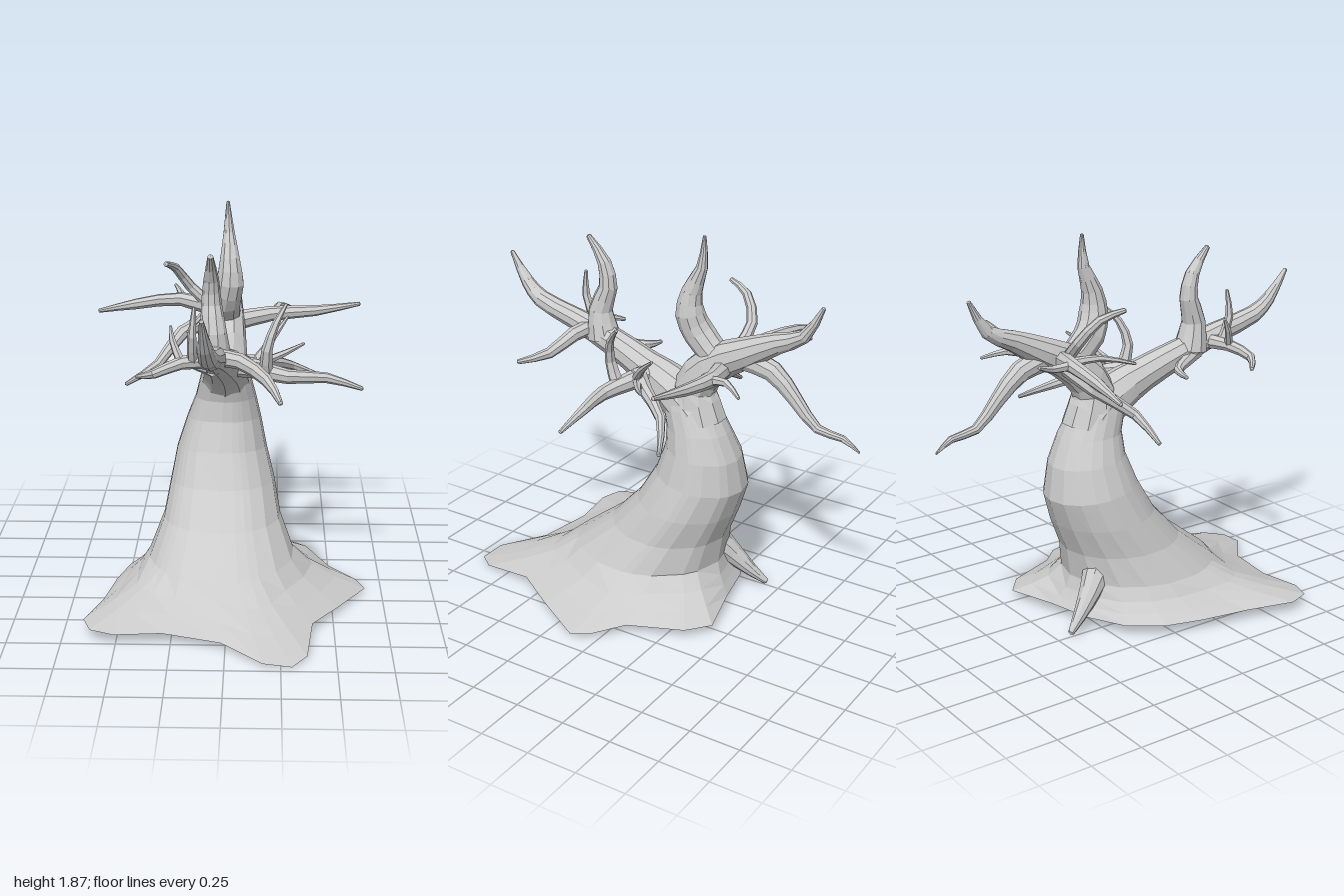
import * as THREE from 'three';

const V = (x, y, z) => new THREE.Vector3(x, y, z);
const bark = new THREE.MeshStandardMaterial({ color: 0xcccccc, flatShading: true, side: THREE.DoubleSide });

// Skin a list of equal-length point rings; optionally close the end with a tip point
function loft(name, rings, tip) {
  const n = rings[0].length, pos = rings.flat().flatMap(p => [p.x, p.y, p.z]), idx = [];
  for (let i = 0; i < rings.length - 1; i++) {
    for (let j = 0; j < n; j++) {
      const a = i * n + j, b = i * n + (j + 1) % n;
      idx.push(a, b, a + n, b, b + n, a + n);
    }
  }
  if (tip) {
    pos.push(tip.x, tip.y, tip.z);
    const base = (rings.length - 1) * n;
    for (let j = 0; j < n; j++) idx.push(base + j, base + (j + 1) % n, base + n);
  }
  const geo = new THREE.BufferGeometry();
  geo.setAttribute('position', new THREE.Float32BufferAttribute(pos, 3));
  geo.setIndex(idx);
  geo.computeVertexNormals();
  const mesh = new THREE.Mesh(geo, bark);
  mesh.name = name;
  return mesh;
}

// Tapered limb through control points [x, y, z, radius]
function limb(name, pts, sides = 8) {
  const curve = new THREE.CatmullRomCurve3(pts.map(p => V(p[0], p[1], p[2])), false, 'centripetal');
  const steps = (pts.length - 1) * 2, rings = [];
  let normal = V(0.31, 0.2, 0.93);
  for (let i = 0; i <= steps; i++) {
    const t = i / steps, c = curve.getPoint(t), tan = curve.getTangent(t);
    normal = normal.clone().addScaledVector(tan, -normal.dot(tan)).normalize();
    const bin = tan.clone().cross(normal);
    const k = Math.min(Math.floor(i / 2), pts.length - 2);
    const r = THREE.MathUtils.lerp(pts[k][3], pts[k + 1][3], i / 2 - k);
    rings.push(Array.from({ length: sides }, (_, j) => {
      const a = j / sides * Math.PI * 2;
      return c.clone().addScaledVector(normal, r * Math.cos(a)).addScaledVector(bin, r * Math.sin(a));
    }));
  }
  const end = pts[pts.length - 1];
  const tip = curve.getPoint(1).addScaledVector(curve.getTangent(1), end[3] * 0.5);
  return loft(name, rings, tip);
}

// Ragged edge of the root skirt, counter-clockwise from the right: [x, y, z]
const skirtEdge = [
  [.67, .01, .13], [.63, .02, .04], [.50, .04, -.08], [.39, .04, -.34], [.28, .04, -.43],
  [.02, .05, -.36], [-.2, .05, -.31], [-.39, .05, -.21], [-.50, .05, -.05], [-.55, .05, .13],
  [-.59, .05, .37], [-.66, .055, .61], [-.62, .055, .72], [-.51, .05, .76], [-.29, .045, .73],
  [-.02, .03, .79], [.17, .01, .95], [.30, 0, .96], [.37, .01, .87], [.40, .04, .60], [.53, .03, .39],
];

// Trunk sections: [front y, front z, back y, back z, centre x, half width]
const sections = [
  [.20, .51, .20, -.28, -.035, .355], [.36, .30, .34, -.30, -.035, .29],
  [.52, .15, .48, -.355, -.035, .26], [.68, .055, .62, -.40, -.04, .225],
  [.82, .0, .78, -.375, -.03, .185], [.92, -.005, .91, -.32, -.02, .15],
  [1.01, .02, 1.03, -.255, -.02, .125], [1.08, .03, 1.14, -.235, -.02, .10],
];

function trunk() {
  const edge = skirtEdge.map(p => V(...p));
  const angles = edge.map(p => Math.atan2(-(p.z - .22) / .65, p.x / .6));
  const body = sections.map(([yf, zf, yb, zb, xc, rx]) => angles.map(a => {
    const s = (1 - Math.sin(a)) / 2;
    return V(xc + rx * Math.cos(a), yb + (yf - yb) * s, zb + (zf - zb) * s);
  }));
  // Concave flare between the ragged edge and the first section
  const flare = [[.4, .28], [.74, .58]].map(([t, h]) => edge.map((p, i) => {
    const q = p.clone().lerp(body[0][i], t);
    q.y = THREE.MathUtils.lerp(p.y, body[0][i].y, h);
    return q;
  }));
  return loft('trunk', [edge, ...flare, ...body]);
}

// Main limbs: [x, y, z, radius]
const mainLimbs = {
  frontLimb: [[-.02, .98, -.15, .13], [-.02, 1.08, -.02, .11], [-.03, 1.15, .14, .085], [-.05, 1.23, .35, .07],
    [-.06, 1.3, .58, .055], [-.07, 1.36, .8, .045], [-.08, 1.43, .89, .033], [-.09, 1.57, .99, .01]],
  backLimb: [[-.02, .95, -.17, .13], [-.02, 1.12, -.14, .105], [-.02, 1.25, -.24, .095], [-.02, 1.35, -.42, .075],
    [-.02, 1.43, -.58, .05], [-.02, 1.49, -.71, .032], [-.02, 1.64, -.8, .01]],
  droopingLimb: [[-.02, 1.32, -.4, .06], [-.03, 1.28, -.55, .05], [-.03, 1.17, -.67, .035],
    [-.03, 1.05, -.79, .023], [-.035, 1.03, -.92, .017], [-.04, .98, -1, .005]],
  backUprightLimb: [[-.02, 1.28, -.27, .07], [-.02, 1.39, -.16, .075], [0, 1.49, -.12, .07],
    [0, 1.6, -.13, .05], [-.005, 1.72, -.18, .028], [-.01, 1.87, -.19, .008]],
  frontUprightLimb: [[-.06, 1.24, .41, .085], [-.06, 1.38, .43, .06], [-.07, 1.5, .39, .047],
    [-.07, 1.62, .41, .035], [-.07, 1.74, .5, .013]],
  backRoot: [[-.13, .27, -.18, .08], [-.18, .17, -.27, .055], [-.22, .08, -.36, .033], [-.25, .02, -.43, .015]],
};

// Side branches: [x, y, z, radius]
const branches = [
  // around the back limb
  [[-.03, 1.3, -.32, .05], [-.25, 1.34, -.41, .035], [-.48, 1.31, -.425, .027], [-.67, 1.27, -.44, .01]],
  [[-.05, 1.28, -.32, .045], [-.24, 1.2, -.28, .035], [-.35, 1.08, -.13, .024], [-.51, .98, -.11, .01]],
  [[-.1, 1.33, -.33, .03], [-.2, 1.42, -.34, .027], [-.27, 1.53, -.27, .022], [-.31, 1.57, -.16, .012]],
  [[0, 1.25, -.3, .05], [.2, 1.28, -.36, .038], [.42, 1.3, -.345, .027], [.64, 1.34, -.33, .01]],
  // around the front limb
  [[-.06, 1.28, .48, .04], [.06, 1.27, .51, .037], [.18, 1.2, .57, .028], [.24, 1.14, .72, .012]],
  [[-.06, 1.27, .5, .04], [-.2, 1.27, .54, .03], [-.32, 1.23, .58, .022], [-.4, 1.2, .52, .01]],
  [[-.06, 1.22, .44, .04], [-.13, 1.2, .32, .03], [-.19, 1.19, .24, .022], [-.28, 1.18, .22, .01]],
  // low cluster on the right
  [[-.01, 1.14, .09, .055], [.14, 1.13, .14, .045], [.28, 1.11, .19, .035], [.46, 1.1, .17, .025], [.63, 1.05, .18, .01]],
  [[.08, 1.15, .12, .045], [.19, 1.13, 0, .033], [.3, 1.07, -.15, .024], [.47, .98, -.25, .01]],
];

// Thin twigs: [x, y, z, radius]
const twigs = [
  [[-.25, 1.34, -.41, .024], [-.255, 1.34, -.52, .018], [-.29, 1.37, -.61, .008]],
  [[-.1, 1.3, -.31, .022], [-.14, 1.31, -.18, .016], [-.2, 1.27, -.02, .007]],
  [[.22, 1.28, -.36, .024], [.24, 1.3, -.46, .018], [.3, 1.27, -.56, .008]],
  [[-.15, 1.27, .53, .025], [-.15, 1.4, .58, .02], [-.14, 1.53, .57, .008]],
  [[-.2, 1.27, .54, .022], [-.24, 1.36, .5, .015], [-.25, 1.42, .47, .007]],
  [[.18, 1.12, .17, .035], [.18, 1.24, .21, .026], [.22, 1.36, .18, .018], [.27, 1.44, .11, .008]],
  [[.12, 1.15, .1, .024], [.2, 1.24, .02, .017], [.28, 1.33, -.09, .007]],
  [[.14, 1.14, .08, .024], [.26, 1.17, 0, .016], [.36, 1.2, -.08, .007]],
];

export function createModel() {
  const tree = new THREE.Group();
  tree.name = 'bareTree';
  tree.add(trunk());
  for (const [name, pts] of Object.entries(mainLimbs)) tree.add(limb(name, pts, 10));
  branches.forEach((pts, i) => tree.add(limb(`branch${i + 1}`, pts)));
  twigs.forEach((pts, i) => tree.add(limb(`twig${i + 1}`, pts, 6)));
  return tree;
}
